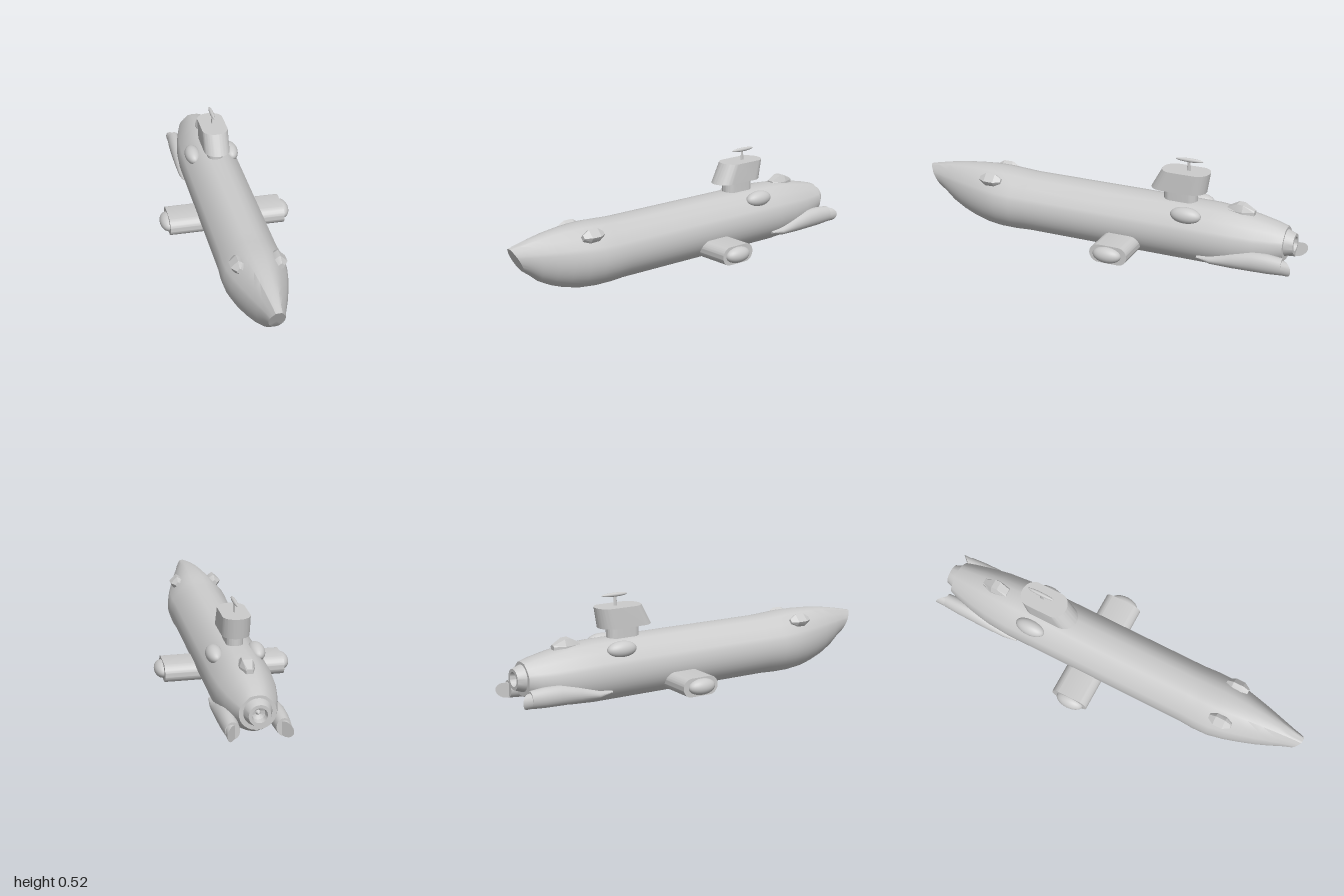
import * as THREE from 'three';
import { toCreasedNormals } from 'three/addons/utils/BufferGeometryUtils.js';

const material = new THREE.MeshStandardMaterial({ color: 0xcccccc });

function add(parent, name, geometry, x = 0, y = 0, z = 0) {
  const mesh = new THREE.Mesh(geometry, material);
  mesh.name = name;
  mesh.position.set(x, y, z);
  parent.add(mesh);
  return mesh;
}

// Skin closed rings (anticlockwise seen from +z, ordered back to front) and cap both ends
function loft(rings, crease = 0.6) {
  const n = rings[0].length;
  const positions = [], index = [];
  rings.forEach(r => r.forEach(p => positions.push(...p)));
  for (let i = 0; i < rings.length - 1; i++) {
    for (let j = 0; j < n; j++) {
      const a = i * n + j, b = i * n + (j + 1) % n;
      index.push(a, b, b + n, a, b + n, a + n);
    }
  }
  [0, rings.length - 1].forEach((k, end) => {
    const centre = positions.length / 3;
    positions.push(...[0, 1, 2].map(c => rings[k].reduce((s, p) => s + p[c], 0) / n));
    for (let j = 0; j < n; j++) {
      const a = k * n + j, b = k * n + (j + 1) % n;
      index.push(centre, ...(end ? [a, b] : [b, a]));
    }
  });
  const g = new THREE.BufferGeometry();
  g.setAttribute('position', new THREE.Float32BufferAttribute(positions, 3));
  g.setIndex(index);
  return toCreasedNormals(g, crease);
}

// Round belly, sloping shoulders and a narrow flat deck; slant pushes the keel backwards
function hullRing([z, w, bottom, top, slant = 0]) {
  const half = [];
  for (let i = 0; i <= 14; i++) {
    const a = -Math.PI / 2 + (i / 14) * (Math.PI / 2 + 0.42);
    half.push([Math.cos(a), 0.5 + 0.5 * Math.sin(a)]);
  }
  half.push([0.67, 0.85], [0.41, 0.97], [0.2, 0.995], [0, 1]);
  const mirrored = half.slice(1, -1).reverse().map(([u, v]) => [-u, v]);
  return [...half, ...mirrored].map(([u, v]) =>
    [u * w, bottom + v * (top - bottom), z - slant * (1 - v)]);
}

function ellipseRing([z, cx, cy, rx, ry, slant = 0]) {
  return Array.from({ length: 24 }, (_, i) => {
    const a = (i / 24) * Math.PI * 2;
    return [cx + rx * Math.cos(a), cy + ry * Math.sin(a), z - slant * Math.cos(a)];
  });
}

// Faceted blister from [z, half width, height] stations
function blister(stations, crown) {
  return loft(stations.map(([z, w, h]) =>
    [[w, -0.03, z], [w, 0.006, z], [w * crown, h, z], [-w * crown, h, z], [-w, 0.006, z], [-w, -0.03, z]]), 0.3);
}

// Round-ended bar, length along x, extruded and centred along z
function stadium(halfLength, radius, depth) {
  const s = new THREE.Shape();
  const c = halfLength - radius;
  s.absarc(c, 0, radius, -Math.PI / 2, Math.PI / 2);
  s.absarc(-c, 0, radius, Math.PI / 2, Math.PI * 1.5);
  s.closePath();
  const g = new THREE.ExtrudeGeometry(s, { depth, bevelEnabled: false, curveSegments: 16 });
  g.translate(0, 0, -depth / 2);
  return toCreasedNormals(g, 0.6);
}

function ellipsoid(rx, ry, rz) {
  return new THREE.SphereGeometry(1, 28, 18).scale(rx, ry, rz);
}

export function createModel() {
  const model = new THREE.Group();
  model.name = 'submarine';

  // Hull: z, half width, bottom, top, slant
  add(model, 'hull', loft([
    [-0.935, 0.085, 0.085, 0.247], [-0.88, 0.102, 0.055, 0.262], [-0.8, 0.122, 0.028, 0.278],
    [-0.7, 0.14, 0.011, 0.295], [-0.58, 0.15, 0.005, 0.304], [-0.4, 0.15, 0.005, 0.305],
    [0.4, 0.15, 0.005, 0.305], [0.48, 0.155, 0.001, 0.309], [0.56, 0.153, 0.001, 0.314],
    [0.64, 0.137, 0.008, 0.315], [0.72, 0.116, 0.025, 0.311, 0.005], [0.8, 0.094, 0.05, 0.304, 0.015],
    [0.88, 0.07, 0.083, 0.292, 0.03], [0.95, 0.05, 0.12, 0.278, 0.055], [1, 0.038, 0.145, 0.267, 0.07],
  ].map(hullRing)));

  // Hollow stern nozzle
  const nozzle = [[0.07, 0], [0.066, 0.03], [0.05, 0.075], [0.035, 0.075], [0.03, 0.045], [0.012, 0.035], [0, 0.06]]
    .map(([r, h]) => new THREE.Vector2(r, h));
  const nozzleGeometry = new THREE.LatheGeometry(nozzle.reverse(), 32);
  nozzleGeometry.rotateX(-Math.PI / 2);
  const nozzleMesh = add(model, 'sternNozzle', toCreasedNormals(nozzleGeometry, 0.5), 0, 0.17, -0.902);
  nozzleMesh.material = material.clone();
  nozzleMesh.material.side = THREE.DoubleSide;

  // Cross wing running through the hull
  const wing = stadium(0.097, 0.046, 0.59);
  wing.rotateY(Math.PI / 2);
  add(model, 'sideWings', wing, 0, 0.078, -0.137);

  // Tower neck and raked cabin
  const neck = stadium(0.085, 0.04, 0.075);
  neck.rotateY(Math.PI / 2).rotateZ(Math.PI / 2);
  add(model, 'towerNeck', neck, 0, 0.3225, -0.395);

  const cabin = stadium(0.14, 0.066, 0.1);
  cabin.rotateY(Math.PI / 2).rotateZ(Math.PI / 2);
  const p = cabin.attributes.position;
  for (let i = 0; i < p.count; i++) {
    const t = p.getY(i) / 0.1 + 0.5;
    p.setZ(i, p.getZ(i) * (1 - 0.14 * t) - 0.385 - 0.035 * t);
  }
  const cabinGeometry = toCreasedNormals(cabin, 0.6);
  add(model, 'towerCabin', cabinGeometry, 0, 0.405, 0);

  // Mast with a slim antenna blade
  add(model, 'mast', new THREE.CylinderGeometry(0.6, 1, 0.055, 12).scale(0.003, 1, 0.011), 0, 0.48, -0.432);
  add(model, 'antenna', ellipsoid(0.01, 0.01, 0.07), 0, 0.508, -0.435);

  // Rear deck blister
  add(model, 'deckBlister', blister([
    [-0.075, 0.016, 0.012], [-0.02, 0.036, 0.038], [0.01, 0.034, 0.04], [0.06, 0.024, 0.014],
  ], 0.65), 0, 0.292, -0.697);

  for (const s of [1, -1]) {
    const side = new THREE.Group();
    side.name = s > 0 ? 'leftFittings' : 'rightFittings';
    model.add(side);

    add(side, 'wingTip', ellipsoid(0.04, 0.04, 0.073), s * 0.295, 0.078, -0.133);
    add(side, 'shoulderDome', ellipsoid(0.04, 0.04, 0.078), s * 0.1, 0.264, -0.457);

    // Bow blister lying on the sloping shoulder
    const bow = add(side, 'bowBlister', blister([
      [-0.058, 0.012, 0.012], [-0.025, 0.03, 0.026], [0.025, 0.03, 0.026], [0.058, 0.012, 0.012],
    ], 0.8), s * 0.098, 0.272, 0.6);
    bow.rotation.z = -s * Math.PI / 4;

    // Thruster fairing and its obliquely cut pipe: z, centre x, centre y, radius x, radius y, slant
    add(side, 'thrusterFairing', loft([
      [-0.95, s * 0.115, 0.095, 0.034, 0.042], [-0.88, s * 0.115, 0.096, 0.039, 0.048],
      [-0.8, s * 0.115, 0.095, 0.041, 0.049], [-0.7, s * 0.114, 0.085, 0.041, 0.041],
      [-0.6, s * 0.112, 0.07, 0.038, 0.024], [-0.53, s * 0.11, 0.075, 0.032, 0.008],
    ].map(ellipseRing)));
    add(side, 'thrusterPipe', loft([
      [-0.965, s * 0.118, 0.09, 0.03, 0.036, s * 0.035], [-0.85, s * 0.115, 0.092, 0.03, 0.036],
    ].map(ellipseRing)));
  }
  return model;
}
